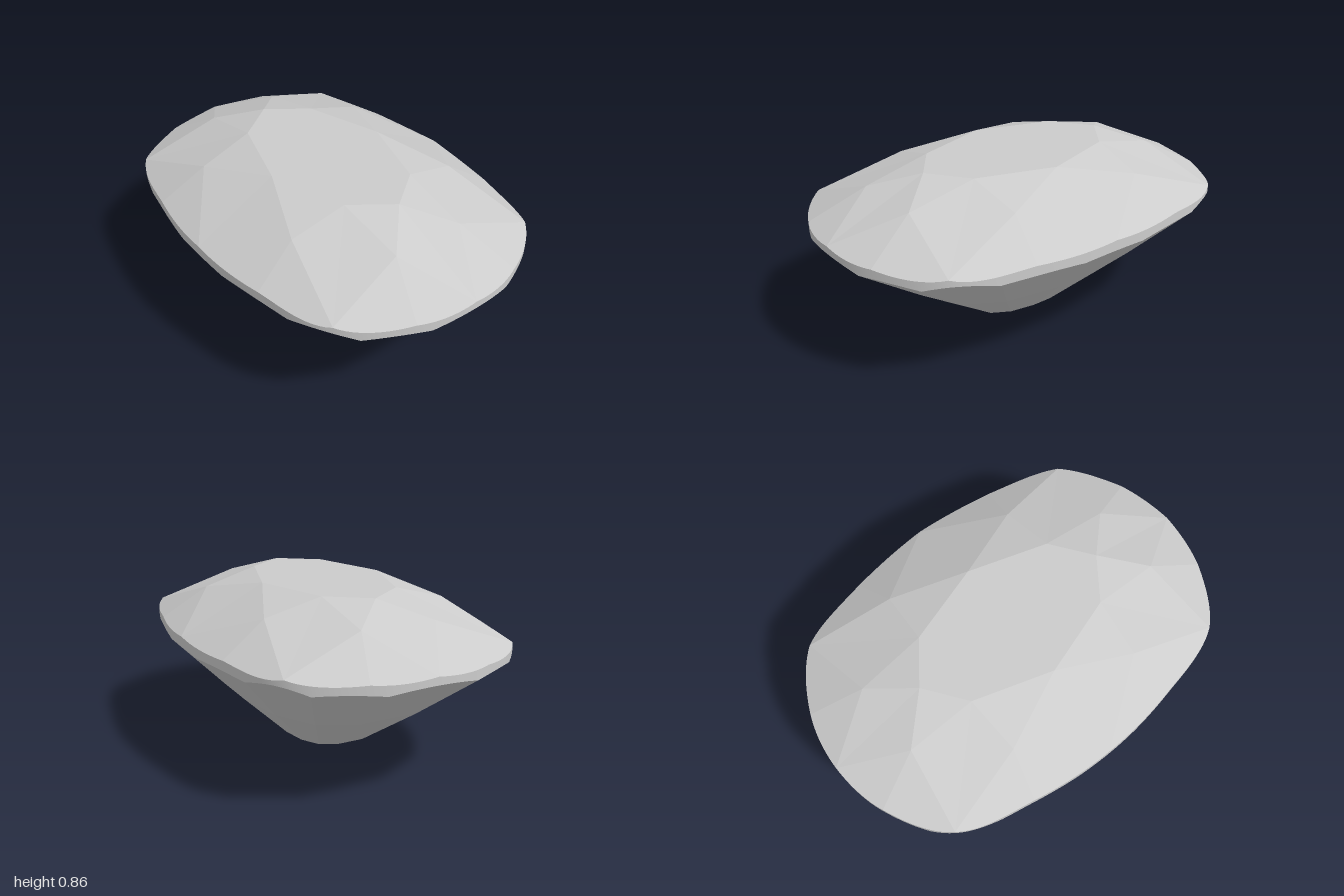
import * as THREE from 'three';

const STEPS = 12; // outline samples between two neighbouring key points

// Mirror quarter points [x, z] into a full loop running from +x towards +z
function mirrorLoop(quarter) {
  const loop = [];
  for (const [x, z] of quarter)
    for (const sx of [1, -1])
      for (const sz of [1, -1]) {
        const p = new THREE.Vector3(x * sx, 0, z * sz);
        if (!loop.some(q => q.distanceTo(p) < 1e-6)) loop.push(p);
      }
  const angle = p => (Math.atan2(p.z, p.x) + Math.PI * 2 + 1e-9) % (Math.PI * 2);
  return loop.sort((a, b) => angle(a) - angle(b));
}

const atY = (p, y) => new THREE.Vector3(p.x, y, p.z);
const crossXZ = (a, b) => a.x * b.z - a.z * b.x;

// Flat-faceted mesh from a list of triangle corners
function facetMesh(name, corners) {
  const geometry = new THREE.BufferGeometry().setFromPoints(corners);
  geometry.computeVertexNormals();
  const mesh = new THREE.Mesh(geometry, new THREE.MeshStandardMaterial({ color: 0xcccccc, flatShading: true }));
  mesh.name = name;
  return mesh;
}

export function createModel() {
  const group = new THREE.Group();
  group.name = 'cushionCutGem';

  // Cushion outline
  const keys = mirrorLoop([[0.71, 0], [0.667, 0.4], [0.557, 0.76], [0.28, 0.948], [0, 1]]);
  const curve = new THREE.CatmullRomCurve3(keys, true);
  const count = keys.length * STEPS;
  const outline = Array.from({ length: count }, (_, j) => curve.getPoint(j / count));

  // Crown: table, stars, kites and upper girdle facets
  const table = mirrorLoop([[0.308, 0], [0.19, 0.37], [0, 0.51]]).map(p => atY(p, 0.855));
  const tips = mirrorLoop([[0.455, 0.35], [0.18, 0.7]]).map(p => atY(p, 0.782));
  const keyPoints = keys.map((p, i) => atY(p, i % 2 ? 0.64 : 0.648));
  const upper = [];
  const tableFaces = [], crown = [];
  for (let i = 0; i < 8; i++) {
    const next = (i + 1) % 8, tip = tips[i], girdle = keyPoints[i * 2];
    tableFaces.push(new THREE.Vector3(0, 0.855, 0), table[next], table[i]);
    crown.push(table[i], table[next], tip);
    crown.push(table[i], tip, girdle, table[i], girdle, tips[(i + 7) % 8]);
    for (const k of [i * 2, i * 2 + 1]) {
      // Each girdle facet is a plane that the curved outline cuts into a scallop
      const plane = new THREE.Plane().setFromCoplanarPoints(tip, keyPoints[(k + 1) % 16], keyPoints[k]);
      const edge = [];
      for (let s = 0; s <= STEPS; s++) {
        const p = outline[(k * STEPS + s) % count];
        edge.push(atY(p, -(plane.normal.x * p.x + plane.normal.z * p.z + plane.constant) / plane.normal.y));
      }
      for (let s = 0; s < STEPS; s++) crown.push(tip, edge[s + 1], edge[s]);
      upper.push(...edge.slice(0, STEPS));
    }
  }
  group.add(facetMesh('table', tableFaces), facetMesh('crown', crown));

  // Pavilion: sixteen sides in four tiers, [scale, height]
  const tiers = [[0.115, 0.03], [0.31, 0.11], [0.66, 0.345]];
  const half = count / 2;
  const corners = [5, 17, 28, 39].flatMap(i => [i, half - i, half + i, count - i]).sort((a, b) => a - b);
  const lower = [];
  const columns = outline.map((p, j) => {
    let k = corners.findIndex(c => c > j);
    if (k < 0) k = 0;
    const a = outline[corners[(k + 15) % 16]], b = outline[corners[k]];
    const side = b.clone().sub(a);
    const g = crossXZ(p, side) / crossXZ(a, side); // 1 on the side, more on the bulge
    const rim = atY(p, 0.345 + (g - 0.66) * (0.245 / 0.34));
    lower.push(rim);
    return [...tiers.map(([r, y]) => new THREE.Vector3(p.x * r / g, y, p.z * r / g)), rim];
  });
  const pavilion = [];
  const culet = new THREE.Vector3(0, 0, 0);
  columns.forEach((a, j) => {
    const b = columns[(j + 1) % count];
    pavilion.push(culet, a[0], b[0]);
    for (let t = 0; t < 3; t++) pavilion.push(a[t], a[t + 1], b[t + 1], a[t], b[t + 1], b[t]);
  });
  group.add(facetMesh('pavilion', pavilion));

  // Girdle: smooth band between the two scalloped edges
  const index = [];
  for (let j = 0; j < count; j++) {
    const n = (j + 1) % count;
    index.push(j, n, count + j, n, count + n, count + j);
  }
  const band = new THREE.BufferGeometry().setFromPoints([...upper, ...lower]);
  band.setIndex(index);
  band.computeVertexNormals();
  const girdle = new THREE.Mesh(band, new THREE.MeshStandardMaterial({ color: 0xcccccc }));
  girdle.name = 'girdle';
  group.add(girdle);

  return group;
}
